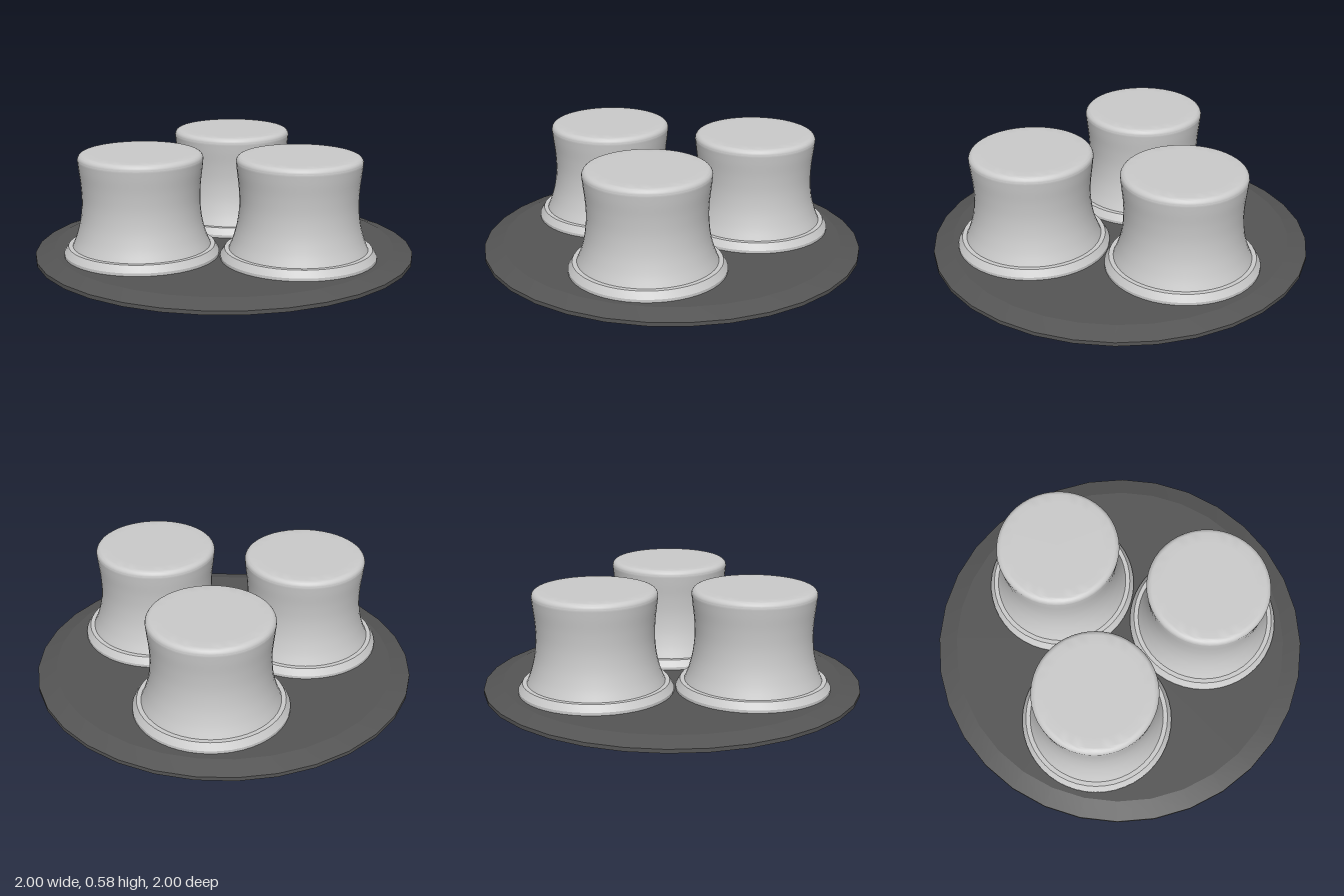
import * as THREE from 'three';
import { toCreasedNormals } from 'three/addons/utils/BufferGeometryUtils.js';

const V = (x, y) => new THREE.Vector2(x, y);

// Turned solid, profile listed from the bottom up
function turned(name, points, segments, crease, material) {
  const geometry = toCreasedNormals(new THREE.LatheGeometry(points, segments), crease);
  const mesh = new THREE.Mesh(geometry, material);
  mesh.name = name;
  return mesh;
}

export function createModel() {
  const model = new THREE.Group();
  model.name = 'threeKnobPlate';
  const grey = new THREE.MeshStandardMaterial({ color: 0xcccccc });
  const dark = new THREE.MeshStandardMaterial({ color: 0x555555 });

  // Round plate with a shallow bevelled rim
  model.add(turned('basePlate',
    [V(0, 0), V(1, 0), V(1, 0.02), V(0.9, 0.05), V(0, 0.05)], 32, 0.21, dark));

  // Stepped foot ring under each knob
  const footProfile = [V(0.4, 0.045), V(0.4, 0.065), V(0.378, 0.1), V(0.34, 0.1)];

  // Waisted knob: flared at the bottom, rounded top edge
  const waist = new THREE.SplineCurve([
    V(0.355, 0.1), V(0.332, 0.16), V(0.312, 0.24), V(0.303, 0.33),
    V(0.306, 0.42), V(0.315, 0.5), V(0.32, 0.55),
  ]).getPoints(24);
  const topEdge = [];
  for (let i = 1; i <= 6; i++) {
    const a = (i / 6) * Math.PI / 2;
    topEdge.push(V(0.29 + 0.03 * Math.cos(a), 0.55 + 0.03 * Math.sin(a)));
  }
  const knobProfile = [...waist, ...topEdge, V(0.24, 0.58), V(0, 0.58)];

  // Three knobs in a triangle, one at the back
  const places = [['backKnob', 0, -0.462], ['leftKnob', 0.404, 0.238], ['rightKnob', -0.404, 0.238]];
  for (const [name, x, z] of places) {
    const knob = new THREE.Group();
    knob.name = name;
    knob.add(turned('footRing', footProfile, 48, 0.4, grey));
    knob.add(turned('knobBody', knobProfile, 48, 0.4, grey));
    knob.position.set(x, 0, z);
    model.add(knob);
  }
  return model;
}
